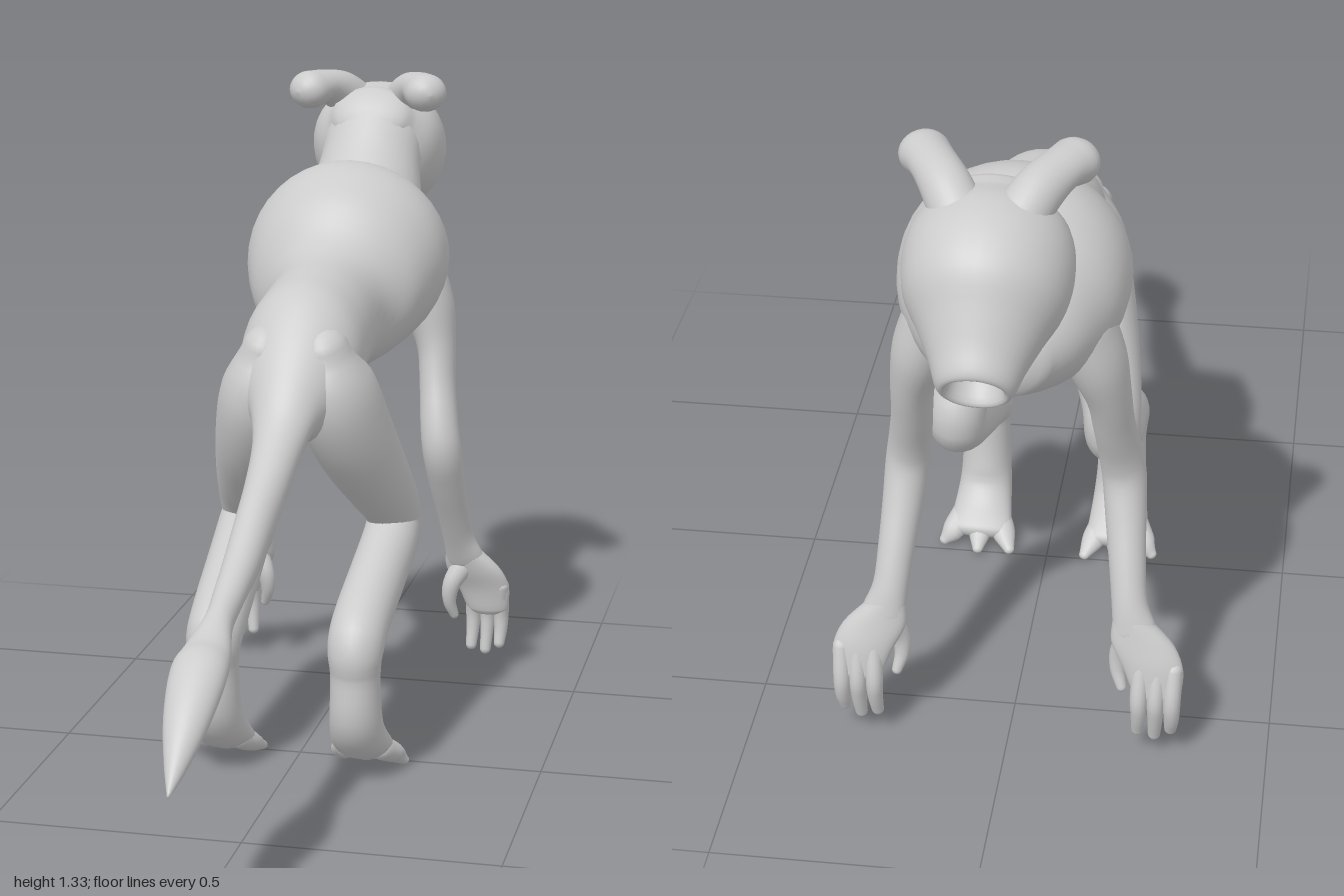
import * as THREE from 'three';

const material = new THREE.MeshStandardMaterial({ color: 0xcccccc, side: THREE.DoubleSide });
const X = new THREE.Vector3(1, 0, 0);

// Smooth skin over elliptical sections [x, y, z, halfWidth, halfHeight].
// dir fixes the section plane; otherwise it follows the path. cap0/cap1 round the ends.
function loft(name, sections, { dir = null, steps = 4, sides = 28, cap0 = 0, cap1 = 0 } = {}) {
  const path = new THREE.CatmullRomCurve3(
    sections.map(s => new THREE.Vector3(s[0], s[1], s[2])), false, 'catmullrom', 0.5);
  const size = new THREE.CatmullRomCurve3(
    sections.map(s => new THREE.Vector3(s[3], s[4], 0)), false, 'catmullrom', 0.5);
  const count = (sections.length - 1) * steps;
  const rings = [];
  for (let i = 0; i <= count; i++) {
    const u = i / count;
    const t = dir ? dir.clone().normalize() : path.getTangent(u);
    rings.push({ c: path.getPoint(u), t, r: size.getPoint(u) });
  }
  const capRings = (end, sign, length) => [1, 2, 3, 4, 5].map(k => {
    const a = k / 5 * Math.PI / 2;
    const reach = sign * Math.min(end.r.x, end.r.y) * length * Math.sin(a);
    return {
      c: end.c.clone().addScaledVector(end.t, reach), t: end.t,
      r: end.r.clone().multiplyScalar(Math.max(Math.cos(a), 0)),
    };
  });
  const first = rings[0], last = rings[rings.length - 1];
  if (cap0) rings.unshift(...capRings(first, -1, cap0).reverse());
  if (cap1) rings.push(...capRings(last, 1, cap1));

  const position = [], index = [];
  rings.forEach(({ c, t, r }, i) => {
    const s = X.clone().addScaledVector(t, -X.dot(t)).normalize();
    const n = t.clone().cross(s);
    for (let j = 0; j < sides; j++) {
      const a = j / sides * Math.PI * 2;
      const p = c.clone()
        .addScaledVector(s, Math.max(r.x, 0) * Math.cos(a))
        .addScaledVector(n, Math.max(r.y, 0) * Math.sin(a));
      position.push(p.x, p.y, p.z);
      if (i < rings.length - 1) {
        const a0 = i * sides + j, b0 = i * sides + (j + 1) % sides;
        index.push(a0, b0, a0 + sides, b0, b0 + sides, a0 + sides);
      }
    }
  });
  const geometry = new THREE.BufferGeometry();
  geometry.setAttribute('position', new THREE.Float32BufferAttribute(position, 3));
  geometry.setIndex(index);
  geometry.computeVertexNormals();
  const mesh = new THREE.Mesh(geometry, material);
  mesh.name = name;
  return mesh;
}

export function createModel() {
  const model = new THREE.Group();
  model.name = 'creature';

  // Tail, hips and chest as upright slices: [z, top, bottom, halfWidth]
  const slices = [
    [1.0, 0.295, 0.285, 0.003], [0.95, 0.355, 0.305, 0.022], [0.88, 0.425, 0.345, 0.042],
    [0.8, 0.48, 0.395, 0.052], [0.74, 0.49, 0.425, 0.045], [0.66, 0.52, 0.455, 0.028],
    [0.58, 0.55, 0.485, 0.03], [0.5, 0.585, 0.505, 0.034], [0.4, 0.64, 0.54, 0.038],
    [0.3, 0.69, 0.59, 0.042], [0.2, 0.755, 0.65, 0.05], [0.14, 0.83, 0.685, 0.068],
    [0.08, 0.905, 0.68, 0.1], [0, 0.975, 0.69, 0.122], [-0.1, 0.995, 0.72, 0.122],
    [-0.2, 1.01, 0.74, 0.12], [-0.26, 1.04, 0.745, 0.135], [-0.32, 1.11, 0.745, 0.18],
    [-0.4, 1.155, 0.75, 0.208], [-0.47, 1.165, 0.755, 0.213], [-0.54, 1.14, 0.77, 0.203],
    [-0.6, 1.1, 0.79, 0.178], [-0.66, 1.06, 0.82, 0.145], [-0.71, 1.0, 0.85, 0.1],
  ];
  model.add(loft('bodyAndTail',
    slices.map(([z, top, bottom, w]) => [0, (top + bottom) / 2, z, w, (top - bottom) / 2]),
    { dir: new THREE.Vector3(0, 0, -1), sides: 40, cap0: 1, cap1: 0.4 }));

  // Neck
  model.add(loft('neck', [
    [0, 0.95, -0.57, 0.13, 0.13], [0, 1.05, -0.63, 0.125, 0.115],
    [0, 1.13, -0.685, 0.11, 0.095], [0, 1.2, -0.74, 0.11, 0.09],
  ], { cap0: 1, cap1: 1 }));

  // Head, ending in a hollow round mouth
  model.add(loft('head', [
    [0, 1.23, -0.69, 0.09, 0.07], [0, 1.2, -0.73, 0.132, 0.113], [0, 1.16, -0.78, 0.147, 0.14],
    [0, 1.12, -0.84, 0.138, 0.135], [0, 1.08, -0.885, 0.107, 0.107], [0, 1.045, -0.925, 0.082, 0.08],
    [0, 1.018, -0.957, 0.066, 0.063], [0, 1.016, -0.959, 0.05, 0.047],
    [0, 1.05, -0.92, 0.036, 0.034], [0, 1.08, -0.885, 0, 0],
  ], { dir: new THREE.Vector3(0, -0.55, -0.83), sides: 36, cap0: 0.5 }));

  for (const [side, m] of [['left', 1], ['right', -1]]) {
    const group = new THREE.Group();
    group.name = side + 'Limbs';
    model.add(group);
    const add = (name, sections, options) => group.add(
      loft(side + name, sections.map(([x, ...rest]) => [m * x, ...rest]), options));

    // Ear with a knobbed tip
    add('Ear', [
      [0.04, 1.23, -0.79, 0.05, 0.05], [0.075, 1.275, -0.74, 0.045, 0.045],
      [0.105, 1.293, -0.69, 0.042, 0.036], [0.128, 1.29, -0.645, 0.046, 0.041],
    ], { cap0: 1, cap1: 1 });

    // Leg: thigh, shin and foot in one bent skin
    add('Leg', [
      [0.06, 0.86, 0.04, 0.05, 0.06], [0.075, 0.78, 0.02, 0.08, 0.105],
      [0.1, 0.68, -0.03, 0.08, 0.105], [0.13, 0.58, -0.105, 0.07, 0.083],
      [0.15, 0.51, -0.165, 0.06, 0.068], [0.155, 0.463, -0.19, 0.056, 0.062],
      [0.155, 0.425, -0.145, 0.058, 0.062], [0.15, 0.375, -0.03, 0.058, 0.063],
      [0.145, 0.325, 0.09, 0.058, 0.06], [0.145, 0.285, 0.143, 0.056, 0.058],
      [0.145, 0.23, 0.143, 0.05, 0.052], [0.145, 0.15, 0.138, 0.052, 0.058],
      [0.145, 0.1, 0.115, 0.056, 0.05], [0.146, 0.063, 0.07, 0.062, 0.036],
      [0.147, 0.037, 0.035, 0.068, 0.022],
    ], { cap0: 1, cap1: 0.8 });

    // Three pointed toes
    for (const [x, z] of [[0.08, 0], [0.147, -0.005], [0.222, 0.02]]) {
      const root = 0.147 + (x - 0.147) * 0.5;
      add('Toe', [
        [root, 0.055, 0.07, 0.026, 0.026], [(root + x) / 2, 0.032, 0.035, 0.025, 0.02],
        [x, 0.013, z, 0.011, 0.009],
      ], { sides: 14, cap0: 1, cap1: 1 });
    }

    // Arm from shoulder to wrist
    add('Arm', [
      [0.13, 0.92, -0.55, 0.06, 0.08], [0.16, 0.84, -0.545, 0.055, 0.072],
      [0.18, 0.76, -0.53, 0.042, 0.056], [0.188, 0.68, -0.505, 0.039, 0.048],
      [0.198, 0.6, -0.475, 0.041, 0.046], [0.206, 0.54, -0.468, 0.042, 0.046],
      [0.212, 0.47, -0.495, 0.039, 0.041], [0.22, 0.39, -0.535, 0.035, 0.036],
      [0.228, 0.32, -0.567, 0.034, 0.031], [0.24, 0.27, -0.585, 0.042, 0.026],
    ], { cap0: 1, cap1: 1 });

    // Flat palm
    add('Palm', [
      [0.235, 0.29, -0.58, 0.037, 0.026], [0.257, 0.245, -0.593, 0.06, 0.025],
      [0.278, 0.2, -0.608, 0.058, 0.022], [0.287, 0.15, -0.617, 0.047, 0.02],
    ], { dir: new THREE.Vector3(0, -0.96, -0.28), cap0: 1, cap1: 1 });

    // Three fingers and a thumb
    for (const [x, tip] of [[0.254, 0.058], [0.286, 0.05], [0.317, 0.066]]) {
      add('Finger', [
        [x + 0.002, 0.2, -0.61, 0.017, 0.019], [x, 0.14, -0.627, 0.017, 0.02],
        [x, 0.1, -0.625, 0.015, 0.017], [x - 0.002, tip, -0.615, 0.012, 0.012],
      ], { sides: 14, cap0: 1, cap1: 1 });
    }
    add('Thumb', [
      [0.235, 0.25, -0.585, 0.026, 0.022], [0.213, 0.21, -0.572, 0.02, 0.018],
      [0.208, 0.17, -0.575, 0.015, 0.014], [0.217, 0.135, -0.587, 0.01, 0.01],
    ], { sides: 14, cap0: 1, cap1: 1 });
  }

  return model;
}
